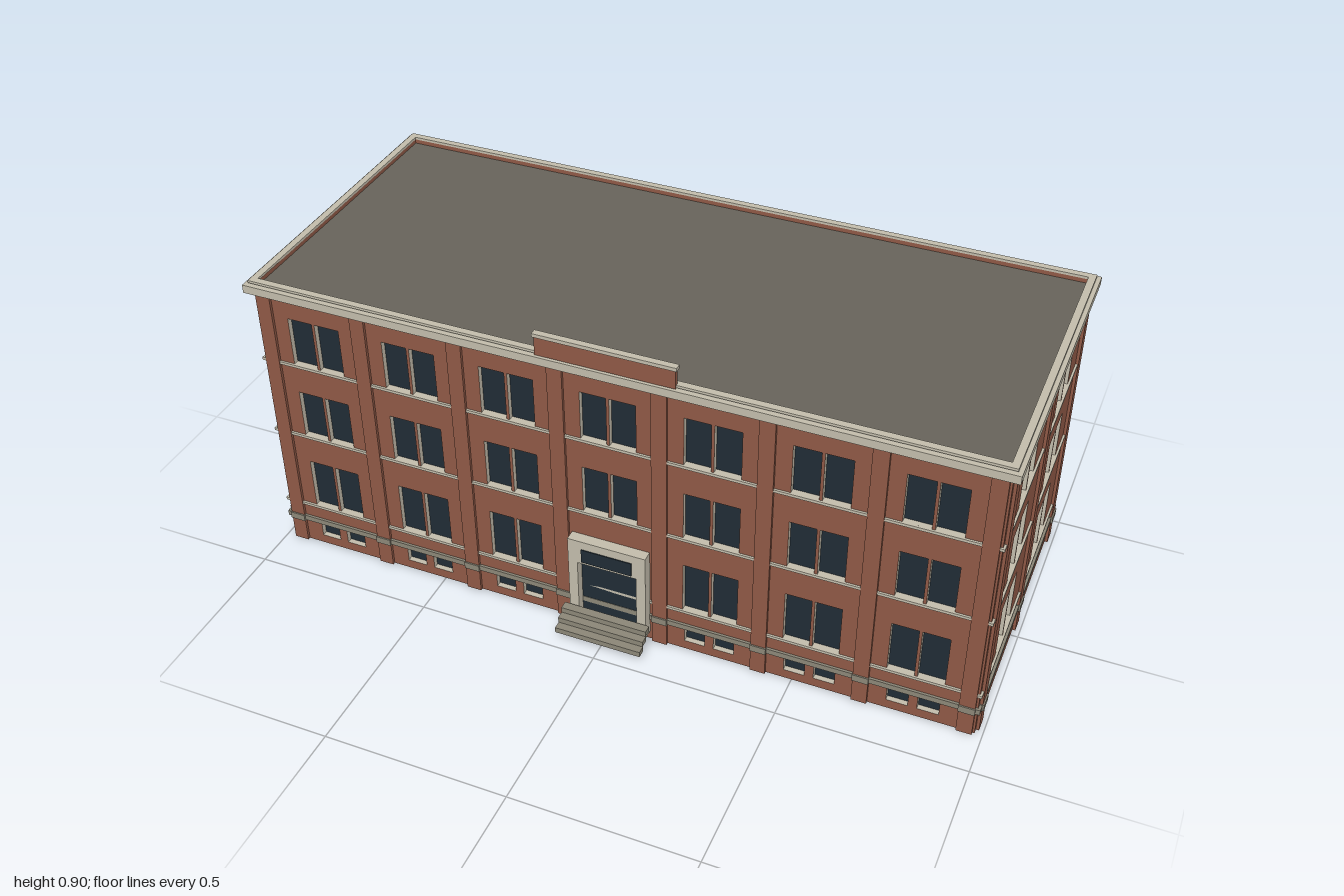
import * as THREE from 'three';

const mat = (name, color, side = THREE.FrontSide) => {
  const m = new THREE.MeshStandardMaterial({ color, side });
  m.name = name;
  return m;
};

export function createModel() {
  const model = new THREE.Group();
  model.name = 'building';

  const brick = mat('brick', 0x8f5946, THREE.DoubleSide);
  const stone = mat('paleStone', 0xc2bcab, THREE.DoubleSide);
  const grey = mat('greyStone', 0x8b8677);
  const glass = mat('darkGlass', 0x202c35, THREE.DoubleSide);
  const roofing = mat('roofing', 0x67635a);

  const CZ = -0.042, HX = 0.98, HZ = 0.416, WALL_TOP = 0.82, RECESS = 0.015;

  const add = (parent, name, geo, material, x = 0, y = 0, z = 0) => {
    const mesh = new THREE.Mesh(geo, material);
    mesh.name = name;
    mesh.position.set(x, y, z);
    parent.add(mesh);
    return mesh;
  };
  // Box given by its limits on each axis
  const box = (parent, name, material, x0, x1, y0, y1, z0, z1) =>
    add(parent, name, new THREE.BoxGeometry(x1 - x0, y1 - y0, z1 - z0), material,
      (x0 + x1) / 2, (y0 + y1) / 2, (z0 + z1) / 2);

  const rect = (P, x0, x1, y0, y1) => {
    const p = new P();
    p.moveTo(x0, y0);
    p.lineTo(x1, y0);
    p.lineTo(x1, y1);
    p.lineTo(x0, y1);
    p.closePath();
    return p;
  };

  // Open-fronted recess: stone reveals on four sides, glass at the back
  const recess = (w, h) => {
    const g = new THREE.BoxGeometry(w, h, RECESS);
    const groups = g.groups.filter(q => q.materialIndex !== 4);
    g.clearGroups();
    groups.forEach(q => g.addGroup(q.start, q.count, q.materialIndex === 5 ? 1 : 0));
    return g;
  };

  // Window rows: bottom, top, width, half spacing of a pair
  const rows = [
    [0.027, 0.068, 0.056, 0.04],
    [0.137, 0.288, 0.07, 0.039],
    [0.38, 0.521, 0.07, 0.039],
    [0.612, 0.753, 0.07, 0.039],
  ].map(([y0, y1, w, dx]) => ({ y0, y1, w, dx, geo: recess(w, y1 - y0) }));

  // One facade, outward along local +z
  function facade(name, half, bays, spacing, hasDoor) {
    const g = new THREE.Group();
    g.name = name;
    const shape = rect(THREE.Shape, -half, half, 0, WALL_TOP);

    for (let b = 0; b < bays; b++) {
      const cx = (b - (bays - 1) / 2) * spacing;
      rows.forEach((r, i) => {
        if (hasDoor && i < 2 && b === (bays - 1) / 2) return;
        for (const s of [-1, 1]) {
          const x = cx + s * r.dx;
          shape.holes.push(rect(THREE.Path, x - r.w / 2, x + r.w / 2, r.y0, r.y1));
          add(g, 'window', r.geo, [stone, glass], x, (r.y0 + r.y1) / 2, -RECESS / 2);
        }
      });
    }
    if (hasDoor) shape.holes.push(rect(THREE.Path, -0.086, 0.086, 0.04, 0.235));
    add(g, 'wall', new THREE.ShapeGeometry(shape), brick);

    // Pilasters with base blocks
    for (let b = 0; b <= bays; b++) {
      const x = (b - bays / 2) * spacing;
      box(g, 'pilaster', brick, x - 0.0205, x + 0.0205, 0, WALL_TOP, 0, 0.008);
      box(g, 'bandBlock', grey, x - 0.0215, x + 0.0215, 0.071, 0.091, 0, 0.012);
    }
    // Sill courses and base band
    rows.slice(1).forEach(r =>
      box(g, 'sillCourse', stone, -half - 0.006, half + 0.006, r.y0 - 0.008, r.y0, 0, 0.006));
    box(g, 'baseBand', grey, -half - 0.007, half + 0.007, 0.073, 0.089, 0, 0.007);
    model.add(g);
    return g;
  }

  facade('frontFacade', HX, 7, 0.2725, true).position.set(0, 0, CZ + HZ);
  const back = facade('backFacade', HX, 7, 0.2725, false);
  back.position.set(0, 0, CZ - HZ);
  back.rotation.y = Math.PI;
  for (const s of [-1, 1]) {
    const side = facade(s > 0 ? 'leftFacade' : 'rightFacade', HZ, 2, 0.382, false);
    side.position.set(s * HX, 0, CZ);
    side.rotation.y = s * Math.PI / 2;
  }

  // Rectangular ring around the roof, offset out and in from the walls
  const ring = (name, material, out, inn, y0, y1) => {
    const shape = rect(THREE.Shape, -HX - out, HX + out, -HZ - out, HZ + out);
    shape.holes.push(rect(THREE.Path, -HX + inn, HX - inn, -HZ + inn, HZ - inn));
    const geo = new THREE.ExtrudeGeometry(shape, { depth: y1 - y0, bevelEnabled: false });
    geo.rotateX(-Math.PI / 2);
    add(model, name, geo, material, 0, y0, CZ);
  };
  ring('cornice', stone, 0.02, 0.002, 0.817, 0.84);
  ring('parapet', brick, 0.003, 0.008, 0.81, 0.843);
  ring('coping', stone, 0.009, 0.01, 0.843, 0.85);
  box(model, 'roof', roofing, -HX + 0.005, HX - 0.005, 0.82, 0.83, CZ - HZ + 0.005, CZ + HZ - 0.005);

  // Raised parapet over the entrance
  box(model, 'centreParapet', brick, -0.182, 0.182, 0.842, 0.894, 0.376, 0.388);
  box(model, 'centreParapetCap', stone, -0.186, 0.186, 0.894, 0.904, 0.373, 0.391);

  // Entrance surround, door and transom
  const entrance = new THREE.Group();
  entrance.name = 'entrance';
  model.add(entrance);
  const surround = rect(THREE.Shape, -0.108, 0.108, 0.027, 0.3);
  surround.holes.push(rect(THREE.Path, -0.082, 0.082, 0.045, 0.226));
  add(entrance, 'doorSurround',
    new THREE.ExtrudeGeometry(surround, { depth: 0.03, bevelEnabled: false }), stone, 0, 0, 0.375);
  box(entrance, 'door', glass, -0.083, 0.083, 0.04, 0.228, 0.372, 0.38);
  box(entrance, 'transom', glass, -0.07, 0.07, 0.233, 0.275, 0.4, 0.4075);

  // Open-riser steps
  for (let i = 0; i < 3; i++) {
    const z = 0.475 - i * 0.0205, y = 0.027 + i * 0.018;
    box(entrance, 'step', grey, -0.12, 0.12, y, y + 0.016, z - 0.0235, z);
  }
  return model;
}
